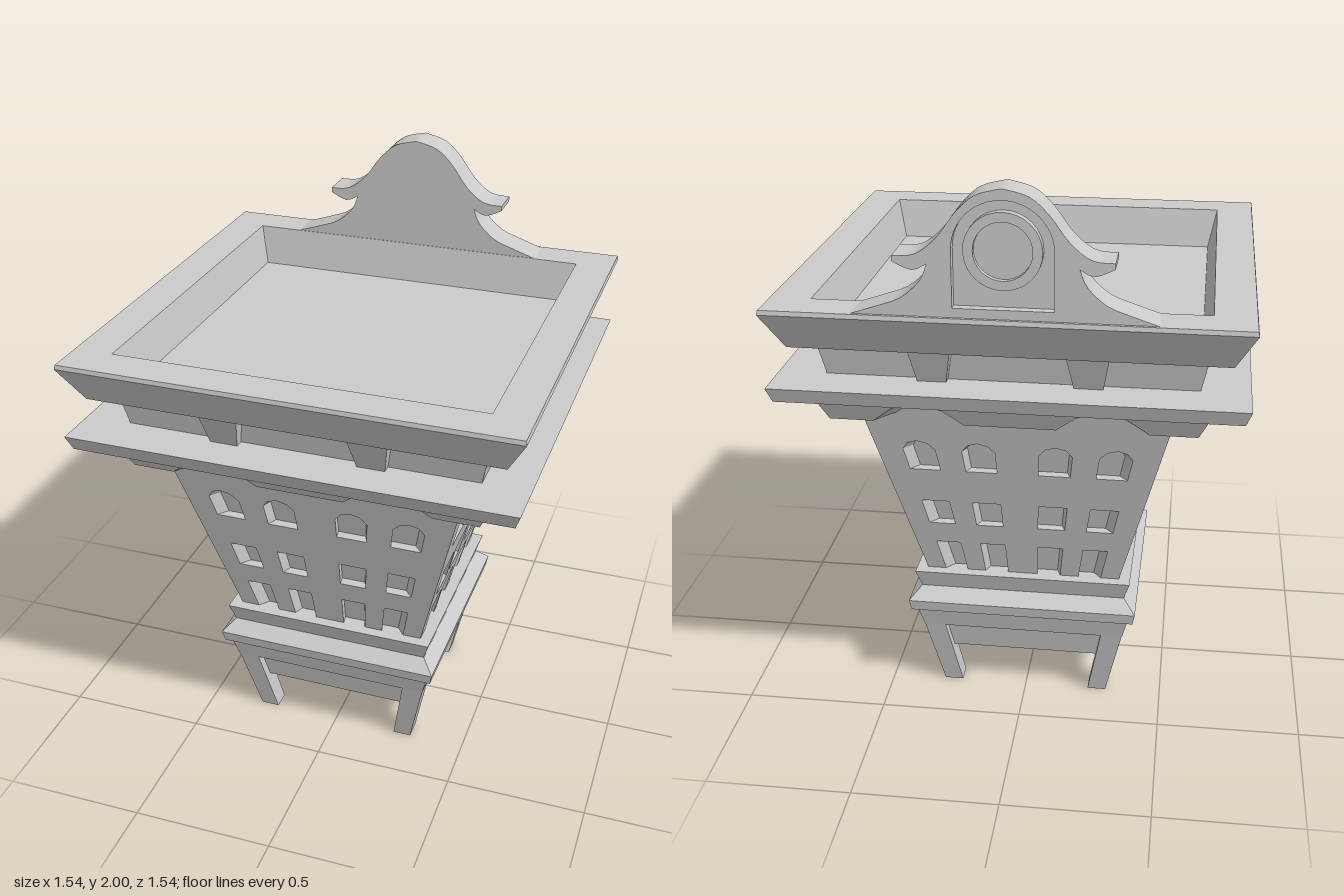
import * as THREE from 'three';
import { toCreasedNormals } from 'three/addons/utils/BufferGeometryUtils.js';

const material = new THREE.MeshStandardMaterial({ color: 0xcccccc });
const V = (x, y) => new THREE.Vector2(x, y);

function addMesh(parent, name, geometry) {
  const mesh = new THREE.Mesh(geometry, material);
  mesh.name = name;
  parent.add(mesh);
  return mesh;
}

// Square solid from a profile of [half width, y] pairs, listed upwards
function squareLathe(profile) {
  const points = profile.map(([half, y]) => V(half * Math.SQRT2, y));
  const g = new THREE.LatheGeometry(points, 4, Math.PI / 4).toNonIndexed();
  g.computeVertexNormals();
  return g;
}

// Panel leaning on the slope half(y), mitred towards its neighbours
function slopedPanel(shape, half, thickness, mitre = true) {
  const g = new THREE.ExtrudeGeometry(shape, { depth: thickness, bevelEnabled: false });
  const p = g.attributes.position;
  for (let i = 0; i < p.count; i++) {
    const h = half(p.getY(i));
    const z = h - (thickness - p.getZ(i));
    if (mitre) p.setX(i, p.getX(i) * z / h);
    p.setZ(i, z);
  }
  g.computeVertexNormals();
  return g;
}

const bodyHalf = y => 0.345 + (y - 0.5) * 0.255;
const apronHalf = y => 0.60 + (y - 1.18) * 0.45;
const bracketHalf = y => 0.63 + (y - 1.34) * 0.375;

// Tapered wall with three rows of windows; columns are fractions of the half width
function wallShape(columns, rows) {
  const wide = y => bodyHalf(y);
  const shape = new THREE.Shape([
    V(-wide(0.46), 0.46), V(wide(0.46), 0.46), V(wide(1.29), 1.29), V(-wide(1.29), 1.29)]);
  rows.forEach(([low, high], row) => {
    const outline = row < 2
      ? [[0, low], [1, low], [1, high], [0, high]]
      : [[0, low], [1, low], [1, high - 0.035], [0.8, high - 0.01], [0.5, high],
        [0.2, high - 0.01], [0, high - 0.035]];
    for (const [a, b] of columns) for (const side of [-1, 1]) {
      shape.holes.push(new THREE.Path(
        outline.map(([u, y]) => V(side * (a + (b - a) * u) * wide(y), y))));
    }
  });
  return shape;
}

// Apron with two arches cut into its lower edge
function apronShape() {
  const points = [V(-0.60, 1.18)];
  const arch = [[-0.15, 1.18], [-0.085, 1.235], [-0.04, 1.253], [0, 1.26],
    [0.04, 1.253], [0.085, 1.235], [0.15, 1.18]];
  for (const centre of [-0.305, 0.295]) {
    for (const [x, y] of arch) points.push(V(centre + x, y));
  }
  points.push(V(0.60, 1.18), V(0.65, 1.29), V(-0.65, 1.29));
  return new THREE.Shape(points);
}

// Gable outline: curved cap, side wings and flared foot
function crestShape() {
  const spline = (pts, n) => new THREE.SplineCurve(pts.map(([x, y]) => V(x, y))).getPoints(n);
  const right = [
    ...spline([[0, 2], [0.08, 1.978], [0.14, 1.925], [0.2, 1.845], [0.265, 1.795], [0.335, 1.788]], 20),
    ...spline([[0.335, 1.77], [0.275, 1.745], [0.23, 1.765]], 6),
    ...spline([[0.24, 1.735], [0.262, 1.70], [0.315, 1.655], [0.38, 1.63], [0.47, 1.6]], 10)];
  const left = right.slice(1).reverse().map(p => V(-p.x, p.y));
  return new THREE.Shape([...left, ...right]);
}

export function createModel() {
  const group = new THREE.Group();
  group.name = 'lanternTower';

  // Hollow base with recessed skirt and moulding
  addMesh(group, 'base', squareLathe([
    [0, 0.33], [0.20, 0.33], [0.20, 0.25], [0.24, 0.25], [0.24, 0.155], [0.305, 0.155],
    [0.33, 0.27], [0.362, 0.27], [0.382, 0.35], [0.40, 0.35], [0.408, 0.39],
    [0.365, 0.435], [0.385, 0.5], [0, 0.5]]));

  // Splayed corner legs
  for (const sx of [-1, 1]) for (const sz of [-1, 1]) {
    const g = squareLathe([[0, 0], [0.033, 0], [0.038, 0.275], [0, 0.275]]);
    const p = g.attributes.position;
    for (let i = 0; i < p.count; i++) {
      const offset = 0.269 + p.getY(i) * 0.2;
      p.setX(i, p.getX(i) + sx * offset);
      p.setZ(i, p.getZ(i) + sz * offset);
    }
    g.computeVertexNormals();
    addMesh(group, 'leg', g);
  }

  // Core behind the windows
  const recess = 0.035;
  addMesh(group, 'bodyCore', squareLathe([
    [0, 0.46], [bodyHalf(0.46) - recess, 0.46], [bodyHalf(1.29) - recess, 1.29], [0, 1.29]]));

  // Four sides: wall, apron and brackets
  const narrowWall = wallShape([[0.155, 0.39], [0.58, 0.81]],
    [[0.49, 0.625], [0.71, 0.81], [0.945, 1.065]]);
  const wideWall = wallShape([[0.09, 0.42], [0.505, 0.825]],
    [[0.49, 0.625], [0.69, 0.81], [0.935, 1.07]]);
  for (let i = 0; i < 4; i++) {
    const side = new THREE.Group();
    side.name = 'side';
    side.rotation.y = i * Math.PI / 2;
    group.add(side);
    addMesh(side, 'windowWall', slopedPanel(i % 2 ? wideWall : narrowWall, bodyHalf, recess));
    addMesh(side, 'archedApron', slopedPanel(apronShape(), apronHalf, 0.10));
    for (const x of [-0.25, 0.25]) {
      const shape = new THREE.Shape([
        V(x - 0.047, 1.34), V(x + 0.047, 1.34), V(x + 0.068, 1.46), V(x - 0.068, 1.46)]);
      addMesh(side, 'bracket', slopedPanel(shape, bracketHalf, 0.07, false));
    }
  }

  // Ledge, neck, cornice and sunken roof
  addMesh(group, 'cornice', squareLathe([
    [0, 1.29], [0.74, 1.29], [0.758, 1.34], [0.60, 1.34], [0.625, 1.46], [0.697, 1.46],
    [0.763, 1.585], [0.76, 1.6], [0.628, 1.6], [0.598, 1.46], [0, 1.46]]));

  // Crest: solid front layer, and a back layer with an arched niche
  const extrude = (shape, depth) => toCreasedNormals(
    new THREE.ExtrudeGeometry(shape, { depth, bevelEnabled: false }), 0.6);
  addMesh(group, 'crest', extrude(crestShape(), 0.09)).position.z = -0.72;
  const backShape = crestShape();
  const niche = new THREE.Path();
  niche.moveTo(-0.155, 1.63);
  niche.lineTo(0.155, 1.63);
  niche.absarc(0, 1.81, 0.155, 0, Math.PI, false);
  niche.closePath();
  backShape.holes.push(niche);
  addMesh(group, 'crestBack', extrude(backShape, 0.03)).position.z = -0.75;

  // Round medallion in the niche
  const ring = [[0.12, 0], [0.12, 0.028], [0.09, 0.028], [0.09, 0.01], [0, 0.01]];
  const medallion = addMesh(group, 'medallion', toCreasedNormals(
    new THREE.LatheGeometry(ring.map(([r, y]) => V(r, y)), 32), 0.6));
  medallion.rotation.x = -Math.PI / 2;
  medallion.position.set(0, 1.81, -0.72);

  group.rotation.y = -0.01;
  return group;
}
